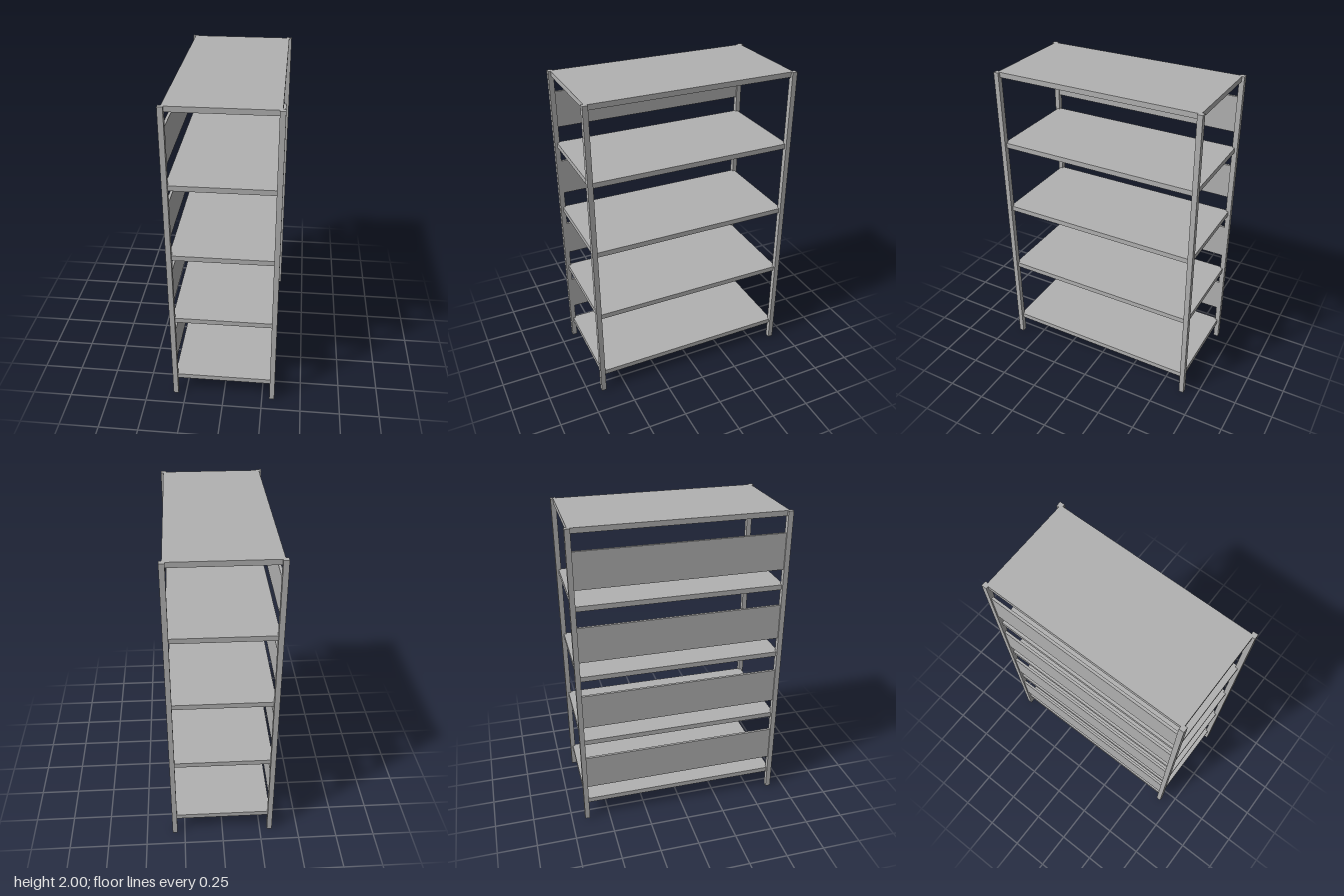
import * as THREE from 'three';

const POST = 0.032;              // square post width
const X = 0.315, Z = 0.648;      // post centre lines
const SHELF_GAP = 0.462;         // shelf spacing
const SHELF_T = 0.032;

export function createModel() {
  const rack = new THREE.Group();
  rack.name = 'shelvingRack';
  const metal = new THREE.MeshStandardMaterial({ color: 0xb2b2b2 });
  metal.name = 'grey metal';

  const addBox = (name, w, h, d, x, y, z) => {
    const mesh = new THREE.Mesh(new THREE.BoxGeometry(w, h, d), metal);
    mesh.name = name;
    mesh.position.set(x, y, z);
    rack.add(mesh);
  };

  // Four corner posts
  for (const sx of [-1, 1]) {
    for (const sz of [-1, 1]) {
      const name = (sz > 0 ? 'front' : 'back') + (sx > 0 ? 'Left' : 'Right') + 'Post';
      addBox(name, POST, 2, POST, sx * X, 1, sz * Z);
    }
  }

  // Five shelves, spanning between the post centre lines
  for (let i = 0; i < 5; i++) {
    const y = 2 - SHELF_T / 2 - i * SHELF_GAP;
    addBox('shelf' + (5 - i), 2 * X, SHELF_T, 2 * Z, 0, y, 0);
  }

  // Guard panels along one long side, halfway between shelves
  for (let i = 0; i < 4; i++) {
    const y = 1.754 - i * SHELF_GAP;
    addBox('sidePanel' + (4 - i), POST / 2, 0.228, 2 * Z, -X, y, 0);
  }

  return rack;
}
